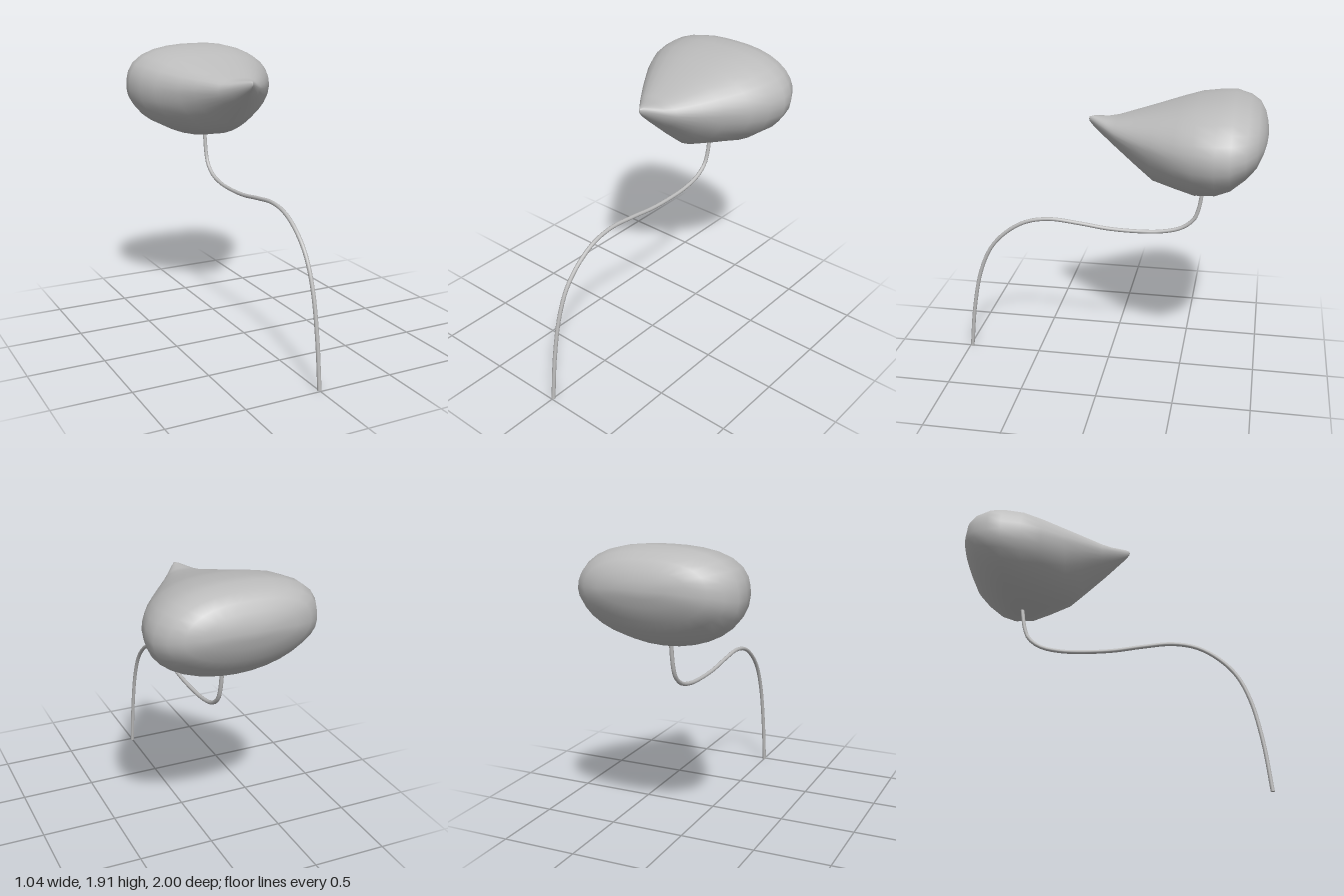
import * as THREE from 'three';

const grey = new THREE.MeshStandardMaterial({ color: 0xbcbcbc });
grey.name = 'plain grey';

// Cross-sections from pointed tip to rounded back:
// z, half width, top y, widest y, bottom y, lower roundness
const SECTIONS = [
  [0.12, 0.006, 1.735, 1.72, 1.705, 2.0],
  [0.09, 0.030, 1.742, 1.71, 1.67, 1.7],
  [0.00, 0.105, 1.735, 1.68, 1.59, 1.6],
  [-0.06, 0.155, 1.742, 1.66, 1.54, 1.6],
  [-0.20, 0.260, 1.780, 1.64, 1.42, 1.6],
  [-0.30, 0.330, 1.808, 1.63, 1.34, 1.65],
  [-0.45, 0.430, 1.852, 1.62, 1.31, 1.8],
  [-0.57, 0.490, 1.885, 1.62, 1.285, 1.9],
  [-0.70, 0.520, 1.900, 1.62, 1.305, 2.0],
  [-0.79, 0.508, 1.905, 1.62, 1.345, 2.0],
  [-0.88, 0.460, 1.880, 1.64, 1.425, 2.0],
  [-0.94, 0.385, 1.845, 1.66, 1.495, 2.0],
  [-0.975, 0.280, 1.790, 1.67, 1.580, 2.0],
  [-0.993, 0.160, 1.735, 1.68, 1.635, 2.0],
];
const SIDES = 32;

function bodyGeometry() {
  const positions = [];
  const index = [];
  for (const [z, w, top, mid, bottom, lower] of SECTIONS) {
    for (let i = 0; i < SIDES; i++) {
      const a = (i / SIDES) * Math.PI * 2;
      const c = Math.cos(a), s = Math.sin(a);
      // the upper side is boxier, slightly fuller on the model's right
      const n = s < 0 ? lower : 2.5 - 0.3 * c;
      const r = Math.pow(Math.pow(Math.abs(c), n) + Math.pow(Math.abs(s), n), -1 / n);
      positions.push(w * c * r, mid + (s < 0 ? mid - bottom : top - mid) * s * r, z);
    }
  }
  // skin between neighbouring rings
  for (let k = 0; k < SECTIONS.length - 1; k++) {
    for (let i = 0; i < SIDES; i++) {
      const j = (i + 1) % SIDES;
      const a = k * SIDES + i, b = k * SIDES + j;
      const c = a + SIDES, d = b + SIDES;
      index.push(a, c, b, b, c, d);
    }
  }
  // close the tip and the back
  const tip = positions.length / 3;
  positions.push(0, 1.72, 0.123, 0, 1.68, -1);
  const last = (SECTIONS.length - 1) * SIDES;
  for (let i = 0; i < SIDES; i++) {
    const j = (i + 1) % SIDES;
    index.push(tip, i, j, tip + 1, last + j, last + i);
  }
  const geometry = new THREE.BufferGeometry();
  geometry.setAttribute('position', new THREE.Float32BufferAttribute(positions, 3));
  geometry.setIndex(index);
  geometry.computeVertexNormals();
  return geometry;
}

// Stem centre line as z, y
const STEM = [
  [0.987, 0], [0.95, 0.32], [0.89, 0.6], [0.81, 0.78], [0.7, 0.9], [0.56, 0.985],
  [0.4, 1.016], [0.2, 1.0], [0, 0.975], [-0.2, 0.97], [-0.35, 0.98], [-0.48, 1.015],
  [-0.56, 1.08], [-0.59, 1.16], [-0.61, 1.3],
];

export function createModel() {
  const model = new THREE.Group();
  model.name = 'podOnStem';

  const body = new THREE.Mesh(bodyGeometry(), grey);
  body.name = 'pod';
  model.add(body);

  // long curved stem
  const path = new THREE.CatmullRomCurve3(STEM.map(([z, y]) => new THREE.Vector3(0, y, z)));
  const stem = new THREE.Mesh(new THREE.TubeGeometry(path, 60, 0.013, 10), grey);
  stem.name = 'stem';
  model.add(stem);

  // flat cap on the stem's foot
  const foot = new THREE.Mesh(new THREE.CircleGeometry(0.013, 10), grey);
  foot.name = 'stemFoot';
  foot.rotation.x = Math.PI / 2;
  foot.position.set(0, 0, 0.987);
  model.add(foot);
  return model;
}
